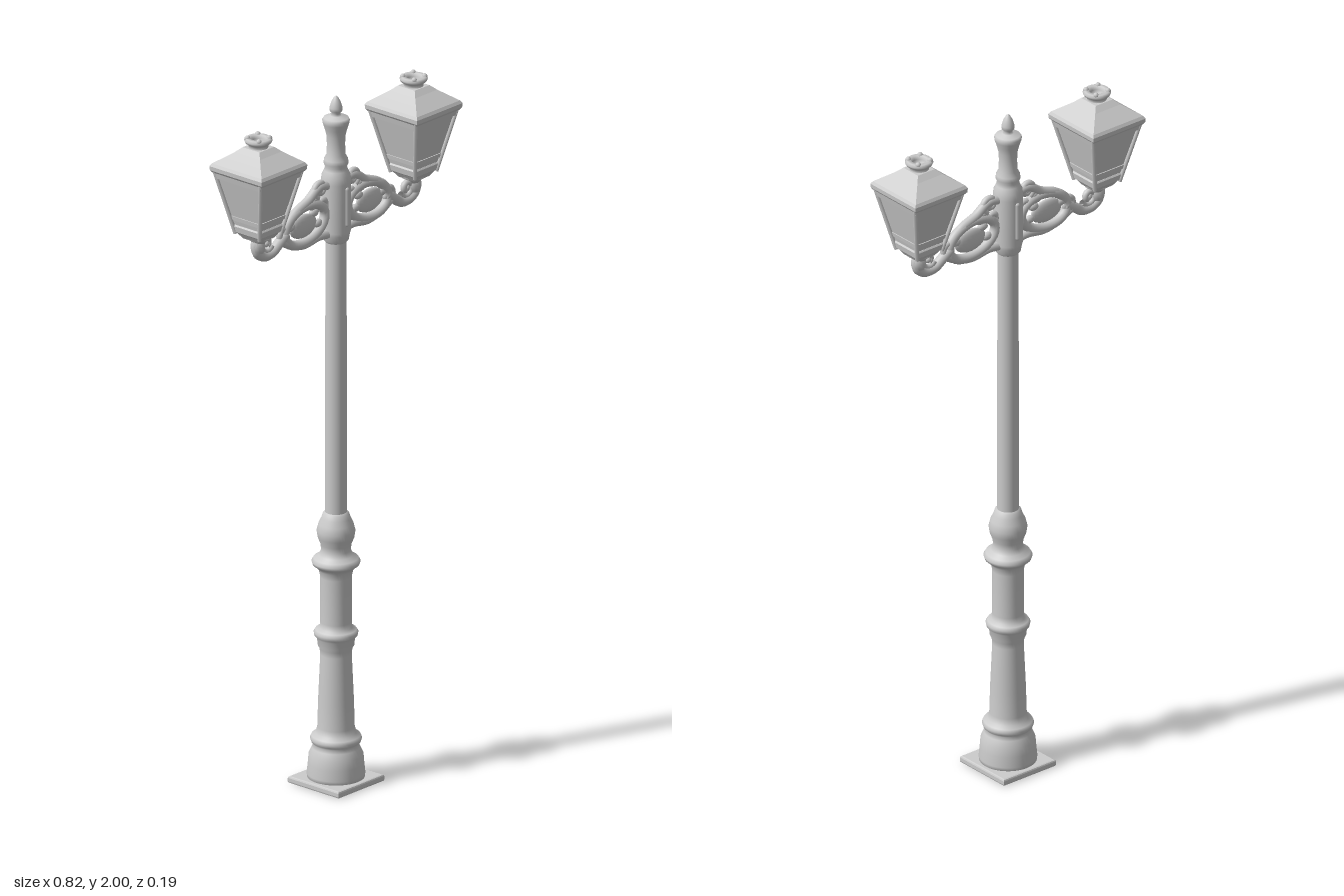
import * as THREE from 'three';

const mat = new THREE.MeshStandardMaterial({ color: 0xcccccc, side: THREE.DoubleSide });
const flat = new THREE.MeshStandardMaterial({ color: 0xcccccc, side: THREE.DoubleSide, flatShading: true });
const V = (x, y, z = 0) => new THREE.Vector3(x, y, z);

function add(parent, name, geometry, x = 0, y = 0, z = 0, material = mat) {
  const mesh = new THREE.Mesh(geometry, material);
  mesh.name = name;
  mesh.position.set(x, y, z);
  parent.add(mesh);
  return mesh;
}

const lathe = (pts, sides = 32) =>
  new THREE.LatheGeometry(pts.map(([r, y]) => new THREE.Vector2(r, y)), sides);

// Four-sided lathe: the profile gives half widths of a square section
function squareLathe(pts) {
  return lathe(pts.map(([w, y]) => [w * Math.SQRT2, y]), 4).rotateY(Math.PI / 4);
}

// Curved rod through points in the arm's plane
function rod(pts, r, closed = false) {
  const curve = new THREE.CatmullRomCurve3(pts.map(p => V(...p)), closed);
  return new THREE.TubeGeometry(curve, 40, r, 10, closed);
}

// Straight bar between two points
function bar(a, b, r) {
  return new THREE.TubeGeometry(new THREE.LineCurve3(a, b), 1, r, 6);
}

// Spiral scroll ending in a round eye
function scroll(parent, x, y, r, start, dir) {
  const pts = [];
  for (let i = 0; i <= 14; i++) {
    const a = start + dir * i * 0.5, k = r * (1 - i / 20);
    pts.push([x + k * Math.cos(a), y + k * Math.sin(a)]);
  }
  add(parent, 'scroll', rod(pts, 0.009));
  add(parent, 'scrollEye', new THREE.SphereGeometry(r * 0.4, 10, 8), x, y);
}

function createLantern() {
  const g = new THREE.Group();
  g.name = 'lantern';
  // Tapered panes set into a frame
  add(g, 'panes', squareLathe([[0, 1.7], [0.042, 1.7], [0.082, 1.87], [0, 1.87]]), 0, 0, 0, flat);
  add(g, 'lowerCollar', squareLathe([[0, 1.675], [0.03, 1.675], [0.04, 1.69], [0.047, 1.695],
    [0.05, 1.712], [0.047, 1.716], [0, 1.716]]), 0, 0, 0, flat);
  add(g, 'middleRail', squareLathe([[0.046, 1.73], [0.053, 1.73], [0.055, 1.742], [0.05, 1.742]]), 0, 0, 0, flat);
  add(g, 'upperRail', squareLathe([[0.076, 1.852], [0.084, 1.852], [0.089, 1.875], [0.08, 1.875]]), 0, 0, 0, flat);
  for (const sx of [-1, 1]) for (const sz of [-1, 1]) {
    add(g, 'cornerBar', bar(V(sx * 0.044, 1.69, sz * 0.044), V(sx * 0.085, 1.875, sz * 0.085), 0.006));
  }
  // Hipped roof with a slim eave
  const roof = squareLathe([[0, 1.866], [0.086, 1.866], [0.092, 1.874], [0.093, 1.886], [0.088, 1.894],
    [0.065, 1.911], [0.045, 1.926], [0.03, 1.94], [0, 1.94]]);
  add(g, 'roof', roof.scale(1, 1, 1.03), 0, 0, 0, flat);
  // Hollow vent with a flared lip
  add(g, 'vent', lathe([[0.036, 1.925], [0.034, 1.932], [0.027, 1.939], [0.027, 1.948], [0.036, 1.954],
    [0.039, 1.961], [0.034, 1.967], [0.023, 1.967], [0.018, 1.958], [0.018, 1.945], [0, 1.945]], 24));
  for (let i = 0; i < 4; i++) {
    const a = i * Math.PI / 2 + Math.PI / 4;
    add(g, 'ventKnob', new THREE.SphereGeometry(0.008, 8, 6), 0.03 * Math.cos(a), 1.966, 0.03 * Math.sin(a));
  }
  return g;
}

// One arm, reaching out along +x
function createArm() {
  const g = new THREE.Group();
  g.name = 'arm';
  // Large oval ring beside the column
  const oval = [];
  for (let i = 0; i < 16; i++) {
    const a = i * Math.PI / 8, c = Math.cos(a) * 0.082, s = Math.sin(a) * 0.052;
    oval.push([0.128 + c, 1.66 + s - c * 0.1]);
  }
  add(g, 'ovalRing', rod(oval, 0.014, true));
  // Leaf plate inside the ring
  add(g, 'leafPlate', new THREE.SphereGeometry(1, 20, 12).scale(0.054, 0.034, 0.012), 0.135, 1.658);
  for (const [x, y] of [[0.075, 1.65], [0.09, 1.685], [0.185, 1.668]]) {
    add(g, 'leafTip', new THREE.SphereGeometry(1, 10, 8).scale(0.017, 0.012, 0.01), x, y);
  }
  // Upper sweep and lower strut tie the ring to the column
  add(g, 'upperSweep', rod([[0.02, 1.745], [0.07, 1.752], [0.115, 1.725], [0.17, 1.702], [0.212, 1.66]], 0.013));
  add(g, 'lowerStrut', rod([[0.02, 1.605], [0.07, 1.61], [0.13, 1.603], [0.18, 1.615], [0.23, 1.642]], 0.013));
  scroll(g, 0.066, 1.745, 0.026, -1.2, 1);
  scroll(g, 0.095, 1.715, 0.02, 2, -1);
  scroll(g, 0.055, 1.695, 0.02, 0, 1);
  scroll(g, 0.212, 1.652, 0.024, 2.6, -1);
  // Hook that carries the lantern
  add(g, 'hook', rod([[0.205, 1.655], [0.235, 1.634], [0.262, 1.617], [0.292, 1.615], [0.318, 1.63],
    [0.325, 1.655], [0.315, 1.685]], 0.015));
  scroll(g, 0.286, 1.65, 0.026, 3.6, 1);
  add(g, 'hookLeaf', new THREE.SphereGeometry(1, 12, 8).scale(0.022, 0.03, 0.02), 0.318, 1.652);
  add(g, 'lanternCup', lathe([[0, 1.655], [0.016, 1.658], [0.022, 1.668], [0.034, 1.676], [0.03, 1.685], [0, 1.685]], 20), 0.315);
  const lantern = createLantern();
  lantern.position.x = 0.316;
  g.add(lantern);
  return g;
}

export function createModel() {
  const model = new THREE.Group();
  model.name = 'streetLamp';

  // Square foot plate with an open centre
  const s = 0.088, plate = new THREE.Shape([[-s, -s], [s, -s], [s, s], [-s, s]].map(p => new THREE.Vector2(...p)));
  plate.holes.push(new THREE.Path().absarc(0, 0, 0.066, 0, Math.PI * 2, true));
  const plateGeo = new THREE.ExtrudeGeometry(plate, {
    depth: 0.01, bevelEnabled: true, bevelSize: 0.005, bevelThickness: 0.005, bevelSegments: 2, curveSegments: 32 });
  add(model, 'footPlate', plateGeo.rotateX(-Math.PI / 2), 0, 0.005);

  // Turned, hollow pedestal
  add(model, 'pedestal', lathe([[0, 0.13], [0.05, 0.12], [0.064, 0.09], [0.066, 0.005], [0.079, 0.018], [0.08, 0.03],
    [0.077, 0.06], [0.075, 0.085], [0.066, 0.105], [0.062, 0.115], [0.068, 0.122], [0.071, 0.131], [0.067, 0.14],
    [0.056, 0.147], [0.051, 0.165], [0.049, 0.24], [0.043, 0.375], [0.045, 0.392], [0.05, 0.402], [0.052, 0.422],
    [0.059, 0.43], [0.061, 0.44], [0.056, 0.448], [0.045, 0.453], [0.043, 0.47], [0.043, 0.6], [0.047, 0.62],
    [0.054, 0.63], [0.064, 0.637], [0.067, 0.646], [0.061, 0.656], [0.047, 0.664], [0.041, 0.678], [0.042, 0.695],
    [0.05, 0.715], [0.053, 0.735], [0.048, 0.755], [0.04, 0.772], [0.036, 0.785], [0.029, 0.79]], 40));

  add(model, 'pole', new THREE.CylinderGeometry(0.029, 0.03, 0.82, 32, 1, true), 0, 1.185);

  // Column head, neck and pointed finial
  add(model, 'columnHead', lathe([[0.028, 1.575], [0.035, 1.583], [0.038, 1.6], [0.041, 1.61], [0.041, 1.75],
    [0.04, 1.77], [0.033, 1.785], [0.03, 1.795], [0.034, 1.805], [0.033, 1.817], [0.026, 1.83], [0.025, 1.86],
    [0.026, 1.885], [0.031, 1.905], [0.036, 1.92], [0.038, 1.93], [0.034, 1.937], [0.015, 1.942], [0.011, 1.948],
    [0.017, 1.956], [0.018, 1.966], [0.013, 1.982], [0.006, 1.995], [0, 2]]));
  for (const z of [-1, 1]) {
    add(model, 'headPanel', new THREE.CapsuleGeometry(0.008, 0.1, 4, 8), 0, 1.685, z * 0.038);
  }

  // Two mirrored arms (a half turn keeps the outline symmetrical)
  for (const turn of [0, Math.PI]) {
    const arm = createArm();
    arm.name = turn ? 'rightArm' : 'leftArm';
    arm.rotation.y = turn;
    model.add(arm);
  }
  return model;
}
